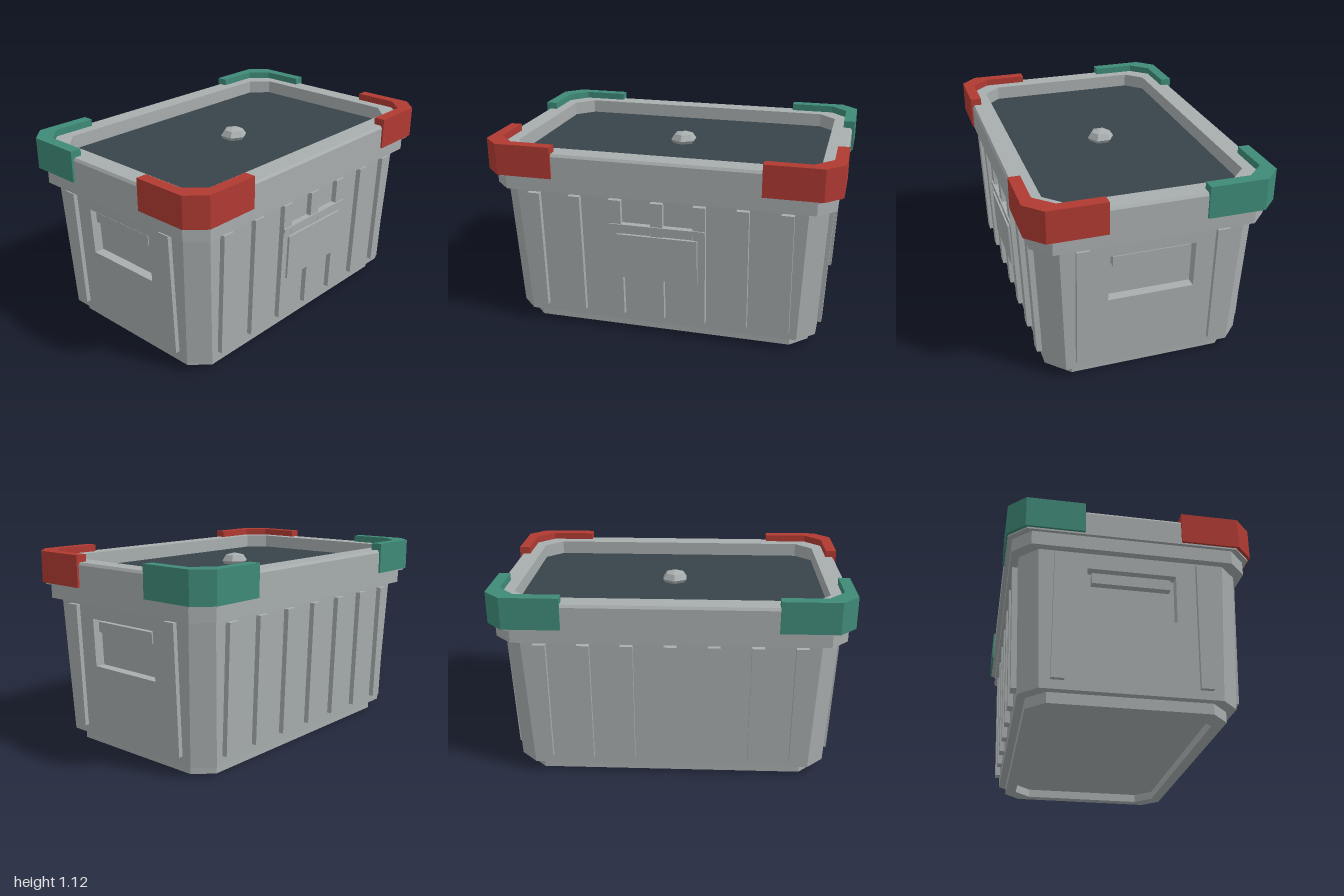
import * as THREE from 'three';

const mat = (name, color) => Object.assign(new THREE.MeshStandardMaterial({ color, flatShading: true }), { name });

export function createModel() {
  const grey = mat('casing grey', 0xa8adad);
  const slate = mat('lid panel slate', 0x37444a);
  const red = mat('front corner red', 0xb03a32);
  const green = mat('back corner green', 0x3f8a78);

  const model = new THREE.Group();
  model.name = 'storageCrate';
  const add = (parent, name, geometry, material = grey) => {
    const mesh = new THREE.Mesh(geometry, material);
    mesh.name = name;
    parent.add(mesh);
    return mesh;
  };

  // Chamfered rectangle as eight corners
  const octagon = ([hx, hz, y], c = 0.097) => {
    if (hx === 0) c = 0;
    return [[hx, c - hz], [hx, hz - c], [hx - c, hz], [c - hx, hz],
      [-hx, hz - c], [-hx, c - hz], [c - hx, -hz], [hx - c, -hz]].map(([x, z]) => [x, y, z]);
  };
  // Skin between successive [halfX, halfZ, y] sections
  const loft = (sections, skip = []) => {
    const pos = [];
    const rings = sections.map((s) => octagon(s));
    for (let k = 0; k < rings.length - 1; k++) {
      const a = rings[k], b = rings[k + 1];
      for (let i = 0; i < 8; i++) {
        if (skip.includes(i)) continue;
        const j = (i + 1) % 8;
        if (sections[k][0] > 0) pos.push(...a[i], ...b[j], ...a[j]);
        if (sections[k + 1][0] > 0) pos.push(...a[i], ...b[i], ...b[j]);
      }
    }
    const g = new THREE.BufferGeometry();
    g.setAttribute('position', new THREE.Float32BufferAttribute(pos, 3));
    g.computeVertexNormals();
    return g;
  };

  // Foot ring, tapered body, collar and lid
  add(model, 'foot', loft([[0, 0, 0.05], [0.785, 0.465, 0.05], [0.785, 0.465, 0], [0.85, 0.53, 0], [0.85, 0.53, 0.06]]));
  add(model, 'bodyUnderside', loft([[0.84, 0.52, 0.06], [0.893, 0.573, 0.06]]));
  add(model, 'body', loft([[0.893, 0.573, 0.06], [0.925, 0.602, 0.85]], [0, 4]));
  add(model, 'collar', loft([[0.85, 0.53, 0.85], [0.968, 0.645, 0.85], [0.968, 0.645, 0.93]]));
  add(model, 'lidRim', loft([[0.9, 0.6, 0.93], [0.987, 0.67, 0.93], [0.987, 0.67, 1.065],
    [0.977, 0.66, 1.08], [0.87, 0.55, 1.08], [0.87, 0.55, 1.0]]));
  add(model, 'lidPanel', loft([[0.87, 0.55, 1.0], [0, 0, 1.0]]), slate);

  // Faceted lid knob
  const knob = add(model, 'knob', new THREE.SphereGeometry(0.08, 6, 4).rotateY(Math.PI / 2));
  knob.scale.y = 0.6;
  knob.position.y = 1.02;

  // Moves geometry out onto a wall that leans outward with height
  const lean = (g, base, slope) => {
    const p = g.attributes.position;
    for (let i = 0; i < p.count; i++) p.setZ(i, p.getZ(i) + base + slope * (p.getY(i) - 0.06));
    g.computeVertexNormals();
    return g;
  };
  const box = (w, h, d, x, y, z = 0) => new THREE.BoxGeometry(w, h, d).translate(x, y, z);
  const FRONT = [0.573, 0.0367], SIDE = [0.893, 0.0405];

  // Long walls: seven ribs each
  for (const [name, turn] of [['frontWall', 0], ['backWall', Math.PI]]) {
    const wall = new THREE.Group();
    wall.name = name;
    wall.rotation.y = turn;
    model.add(wall);
    for (let i = -3; i <= 3; i++) add(wall, 'rib', lean(box(0.07, 0.72, 0.06, i * 0.24, 0.47), ...FRONT));
  }

  // End walls: wall with a handle pocket, grip bar and two ribs
  const rect = (shape, w, y0, y1) => {
    shape.moveTo(-w, y0).lineTo(-w, y1).lineTo(w, y1).lineTo(w, y0).closePath();
    return shape;
  };
  for (const [name, turn] of [['leftEnd', Math.PI / 2], ['rightEnd', -Math.PI / 2]]) {
    const end = new THREE.Group();
    end.name = name;
    end.rotation.y = turn;
    model.add(end);
    const outline = new THREE.Shape([[-0.476, 0.06], [0.476, 0.06], [0.505, 0.85], [-0.505, 0.85]]
      .map(([x, y]) => new THREE.Vector2(x, y)));
    outline.holes.push(rect(new THREE.Path(), 0.242, 0.485, 0.76));
    const panel = new THREE.ExtrudeGeometry(outline, { depth: 0.06, bevelEnabled: false }).translate(0, 0, -0.06);
    add(end, 'endPanel', lean(panel, ...SIDE));
    add(end, 'pocketBack', lean(box(0.5, 0.3, 0.01, 0, 0.62, -0.062), ...SIDE));
    add(end, 'gripBar', lean(box(0.43, 0.06, 0.04, 0, 0.715, -0.037), ...SIDE));
    for (const s of [-1, 1]) add(end, 'rib', lean(box(0.07, 0.72, 0.05, s * 0.386, 0.47), ...SIDE));
  }

  // Front latch: slab with a slightly narrowed face, hinge bar and tabs
  const latch = new THREE.Group();
  latch.name = 'latch';
  model.add(latch);
  const slab = (w, h, d, x, y, z, inset) => {
    const g = new THREE.BoxGeometry(w, h, d);
    const p = g.attributes.position;
    for (let i = 0; i < p.count; i++) {
      if (p.getZ(i) < 0) continue;
      p.setX(i, p.getX(i) - Math.sign(p.getX(i)) * inset);
      if (p.getY(i) < 0) p.setY(i, p.getY(i) + inset);
    }
    return lean(g.translate(x, y, z), ...FRONT);
  };
  add(latch, 'latchPlate', slab(0.48, 0.275, 0.045, 0, 0.493, 0.019, 0.008));
  add(latch, 'hingeBar', lean(box(0.55, 0.025, 0.04, 0, 0.678, 0.018), ...FRONT));
  for (const s of [-1, 1]) {
    add(latch, 'upperTab', lean(box(0.17, 0.04, 0.04, s * 0.12, 0.655, 0.013), ...FRONT));
    add(latch, 'lowerTab', slab(0.17, 0.03, 0.04, s * 0.12, 0.36, 0.01, 0.013));
  }

  // Four chamfered corner guards, mirrored through their outline
  for (const sx of [-1, 1]) for (const sz of [-1, 1]) {
    const pts = [[0.585, 0.68], [0.905, 0.68], [1, 0.585], [1, 0.265],
      [0.935, 0.265], [0.935, 0.515], [0.84, 0.615], [0.585, 0.615]];
    const shape = new THREE.Shape(pts.map(([x, z]) => new THREE.Vector2(sx * x, -sz * z)));
    const g = new THREE.ExtrudeGeometry(shape, { depth: 0.18, bevelEnabled: false });
    g.rotateX(-Math.PI / 2).translate(0, 0.94, 0);
    add(model, (sz > 0 ? 'front' : 'back') + (sx > 0 ? 'Left' : 'Right') + 'CornerGuard', g, sz > 0 ? red : green);
  }
  return model;
}
